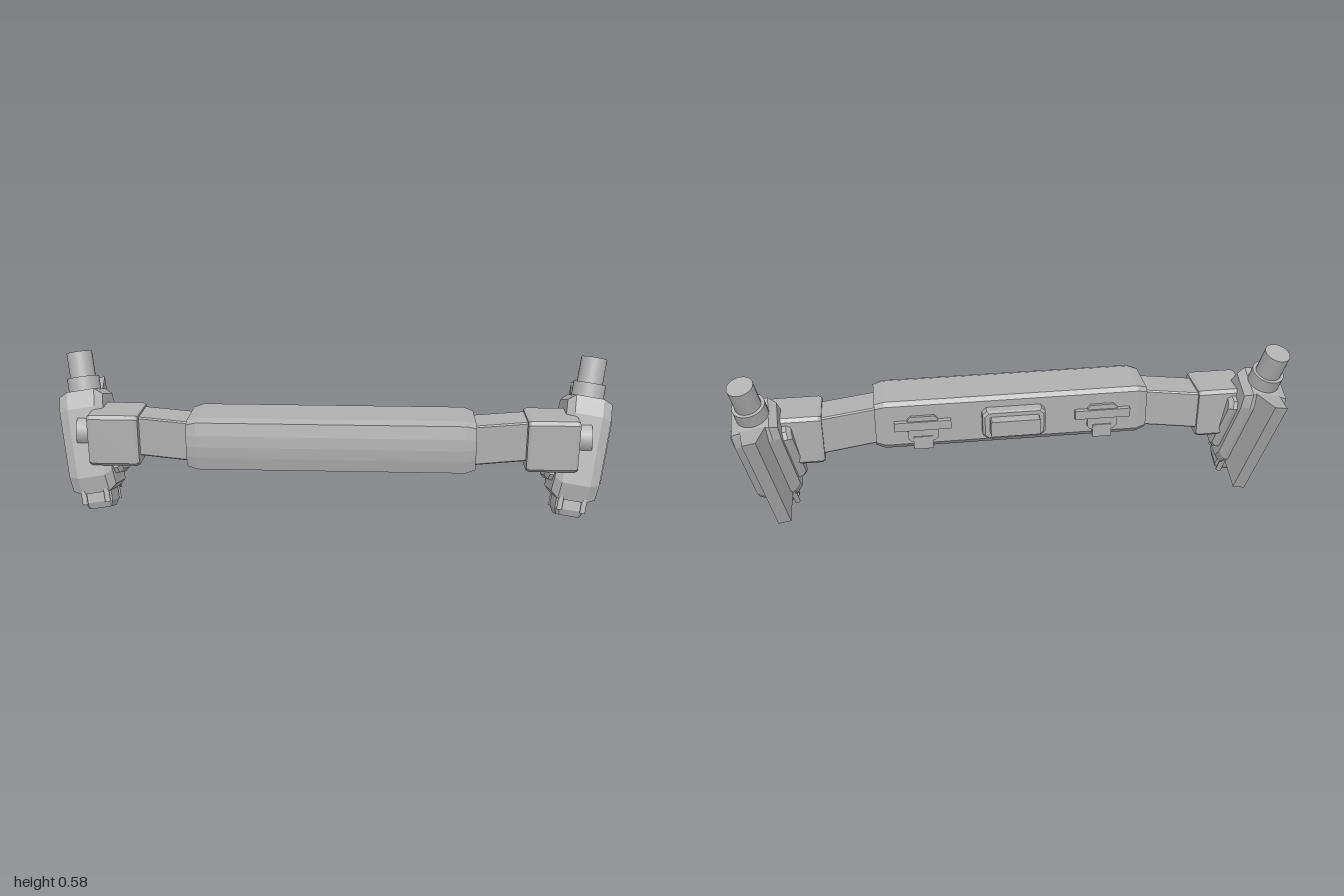
import * as THREE from 'three';

const grey = new THREE.MeshStandardMaterial({ color: 0xb0b0b0 });
grey.name = 'plain grey';

function add(parent, name, geometry, x = 0, y = 0, z = 0) {
  const mesh = new THREE.Mesh(geometry, grey);
  mesh.name = name;
  mesh.position.set(x, y, z);
  parent.add(mesh);
  return mesh;
}

// Rectangle with cut corners, given by half sizes
function cutRect(a, b, c) {
  return [[a, -b + c], [a, b - c], [a - c, b], [-a + c, b],
    [-a, b - c], [-a, -b + c], [-a + c, -b], [a - c, -b]];
}

// Sweeps a convex profile [a, b] along an axis.
// Each station is [t, scaleA, scaleB, offsetA, offsetB].
function loft(axis, profile, stations) {
  const place = { x: (t, a, b) => [t, b, a], y: (t, a, b) => [a, t, b], z: (t, a, b) => [a, b, t] }[axis];
  const rings = stations.map(([t, ka = 1, kb = ka, oa = 0, ob = 0]) =>
    profile.map(([a, b]) => new THREE.Vector3(...place(t, a * ka + oa, b * kb + ob))));
  const centre = (ring) => ring.reduce((s, p) => s.add(p), new THREE.Vector3()).divideScalar(ring.length);
  const n = profile.length;
  const first = rings[0], last = rings[rings.length - 1];
  const c0 = centre(first), c1 = centre(last);
  const tris = [];
  for (let j = 0; j < n; j++) {
    const k = (j + 1) % n;
    for (let i = 0; i + 1 < rings.length; i++) {
      const [p, q] = [rings[i], rings[i + 1]];
      tris.push([p[j], p[k], q[k]], [p[j], q[k], q[j]]);
    }
    tris.push([c0, first[k], first[j]], [c1, last[j], last[k]]);
  }
  // Turn all faces outward
  const volume = tris.reduce((v, [a, b, c]) => v + a.dot(b.clone().cross(c)), 0);
  if (volume < 0) tris.forEach((t) => t.reverse());
  const geometry = new THREE.BufferGeometry().setFromPoints(tris.flat());
  geometry.computeVertexNormals();
  return geometry;
}

function createBumper() {
  const bumper = new THREE.Group();
  bumper.name = 'bumper';
  // Main bar, bulging a little to the front
  const section = [[-0.11, -0.075], [-0.11, 0.08], [-0.095, 0.094], [0.07, 0.095], [0.098, 0.085],
    [0.107, 0.04], [0.11, 0], [0.107, -0.04], [0.098, -0.085], [0.07, -0.094], [-0.095, -0.094]];
  add(bumper, 'mainBar', loft('x', section,
    [[-0.5, 0.93, 0.88], [-0.465, 1], [0.465, 1], [0.5, 0.93, 0.88]]), 0, 0.311, 0.125);
  // Stepped block in the middle of the back
  add(bumper, 'rearBase', loft('z', cutRect(0.115, 0.055, 0.015),
    [[-0.025, 0.93, 0.9], [-0.015, 1], [0.03, 1]]), 0, 0.31, 0);
  add(bumper, 'rearBlock', loft('z', cutRect(0.09, 0.03, 0.004), [[-0.065], [-0.02]]), 0, 0.315, 0);
  // Cross-shaped mounts on each side of the back
  for (const s of [-1, 1]) {
    add(bumper, 'rearMountPlate', loft('z', cutRect(0.055, 0.05, 0.012), [[0.004], [0.03]]), s * 0.33, 0.3, 0);
    add(bumper, 'rearMountBar', new THREE.BoxGeometry(0.205, 0.034, 0.03), s * 0.33, 0.315, 0.012);
    add(bumper, 'rearMountFoot', new THREE.BoxGeometry(0.07, 0.05, 0.025), s * 0.33, 0.245, 0.012);
  }
  return bumper;
}

// Arm and bracket joining the bumper to one end unit
function createArm(s) {
  const arm = new THREE.Group();
  arm.name = s > 0 ? 'leftArm' : 'rightArm';
  add(arm, 'link', loft('x', cutRect(0.066, 0.072, 0.005),
    [[s * 0.47, 1, 1, 0.11], [s * 0.72, 1, 1, 0.045]]), 0, 0.307, 0);
  add(arm, 'bracket', loft('x', cutRect(0.09, 0.094, 0.012),
    [[s * 0.685, 0.95], [s * 0.695, 1], [s * 0.855, 1], [s * 0.865, 0.95]]), 0, 0.297, 0.062);
  const boss = add(arm, 'pivotBoss', new THREE.CylinderGeometry(0.056, 0.056, 0.1, 12), s * 0.865, 0.308, 0.063);
  boss.rotation.z = Math.PI / 2;
  return arm;
}

// Leaning end unit with a post, outer panels, rear fin and foot
function createEndUnit(s) {
  const unit = new THREE.Group();
  unit.name = s > 0 ? 'leftEndUnit' : 'rightEndUnit';
  unit.position.set(s * 0.885, 0.252, 0.015);
  unit.rotation.set(-0.305, 0, -s * 0.17, 'ZYX');

  const outline = [[0.094, -0.13], [0.094, 0.12], [0.07, 0.185], [-0.075, 0.185],
    [-0.094, 0.135], [-0.094, -0.14], [-0.075, -0.18], [0.068, -0.19]];
  add(unit, 'body', loft('x', outline,
    [[-s * 0.08, 0.82, 0.88], [-s * 0.055, 1], [s * 0.045, 1], [s * 0.08, 0.85, 0.92]]));
  add(unit, 'innerBoss', loft('x', cutRect(0.06, 0.12, 0.02),
    [[-s * 0.11, 0.85, 0.9], [-s * 0.095, 1], [-s * 0.05, 1]]), 0, -0.01, 0);

  // Stacked outer panels with end tabs
  add(unit, 'outerPanel', loft('x', cutRect(0.037, 0.135, 0.01), [[s * 0.07], [s * 0.09]]));
  add(unit, 'outerPanelTab', new THREE.BoxGeometry(0.018, 0.29, 0.05), s * 0.077, 0, 0);
  add(unit, 'innerPanel', loft('x', cutRect(0.021, 0.118, 0.006), [[s * 0.08], [s * 0.1, 0.9, 0.98]]));

  // Post and collar on top
  add(unit, 'collar', new THREE.CylinderGeometry(0.058, 0.058, 0.09, 32), 0, 0.19, 0);
  add(unit, 'post', new THREE.CylinderGeometry(0.046, 0.046, 0.15, 32), 0, 0.253, 0);

  // Fin spreading toward the back
  const fin = [[1, -0.5], [1, 0.5], [-1, 0.5], [-1, -0.5]];
  add(unit, 'rearFin', loft('z', fin, [[-0.187, 0.023, 0.43, 0, 0.023],
    [-0.175, 0.025, 0.42, 0, 0.022], [-0.07, 0.045, 0.345, 0, 0.015]]));

  // Foot block and its four pins
  add(unit, 'foot', loft('y', cutRect(0.052, 0.056, 0.012),
    [[-0.248, 0.8, 0.7], [-0.225, 1, 0.95], [-0.16, 1]]), 0, 0, -0.003);
  for (const x of [-0.042, 0.042]) {
    for (const z of [-0.07, 0.064]) {
      add(unit, 'footPin', new THREE.CylinderGeometry(0.01, 0.01, 0.08, 12), x, -0.188, z);
    }
  }
  return unit;
}

export function createModel() {
  const model = new THREE.Group();
  model.name = 'bumperAssembly';
  model.add(createBumper());
  for (const s of [-1, 1]) model.add(createArm(s), createEndUnit(s));
  return model;
}
